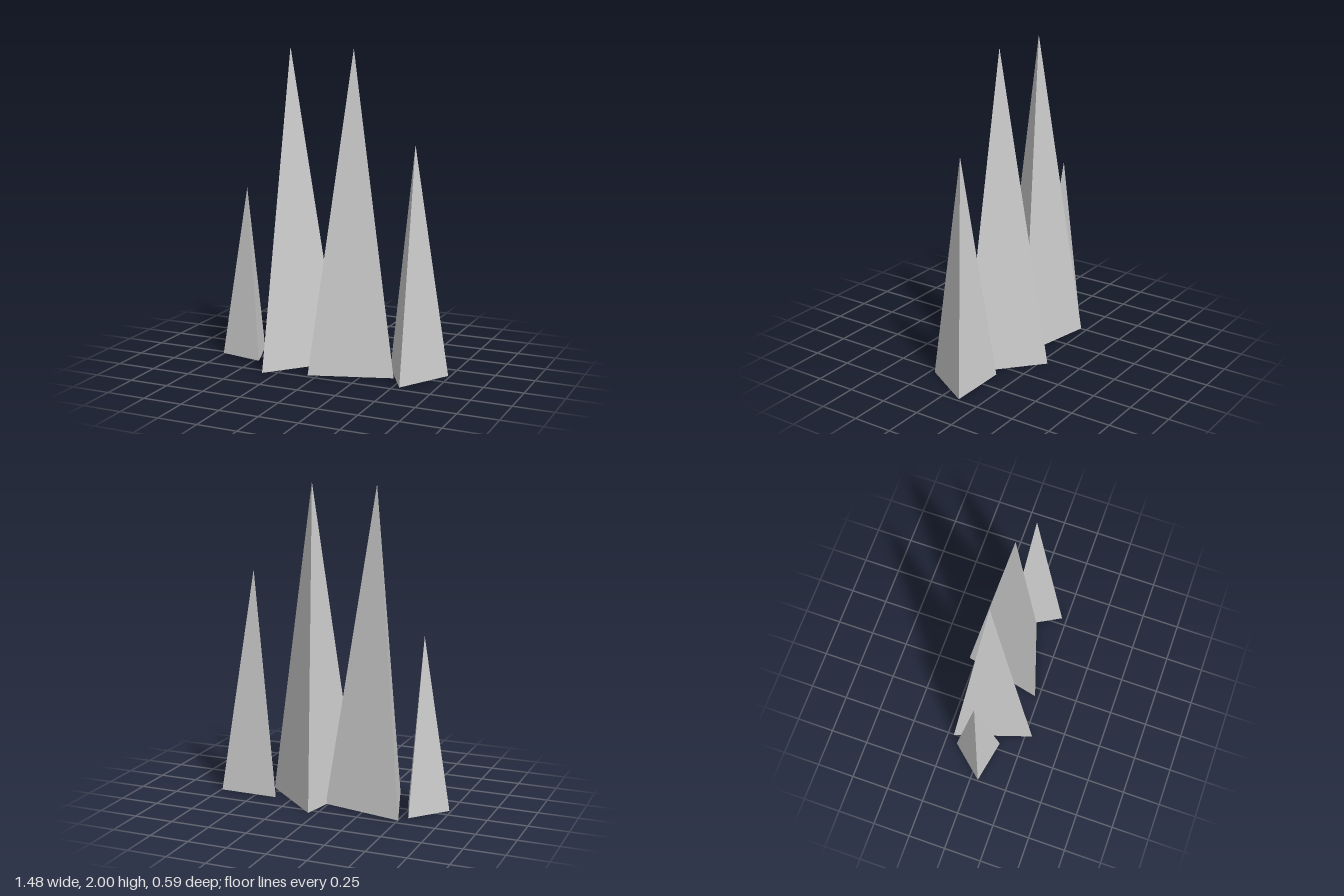
import * as THREE from 'three';

export function createModel() {
  const model = new THREE.Group();
  model.name = 'spikeRow';
  const material = new THREE.MeshStandardMaterial({ color: 0xcccccc, flatShading: true });

  // Three-sided spikes in a row: centre x, base height, tip height, radius, turn about y
  const spikes = [
    { name: 'smallSpike', x: -0.586, base: 0.008, tip: 1.105, radius: 0.168, turn: -1.24 },
    { name: 'tallSpikeRight', x: -0.275, base: 0, tip: 2, radius: 0.307, turn: -0.207 },
    { name: 'tallSpikeLeft', x: 0.146, base: 0, tip: 2, radius: 0.307, turn: 1.358 },
    { name: 'mediumSpike', x: 0.546, base: 0.003, tip: 1.44, radius: 0.221, turn: -0.012 },
  ];

  for (const { name, x, base, tip, radius, turn } of spikes) {
    const spike = new THREE.Mesh(new THREE.ConeGeometry(radius, tip - base, 3), material);
    spike.name = name;
    spike.position.set(x, (base + tip) / 2, -0.004);
    spike.rotation.y = turn;
    model.add(spike);
  }
  return model;
}
